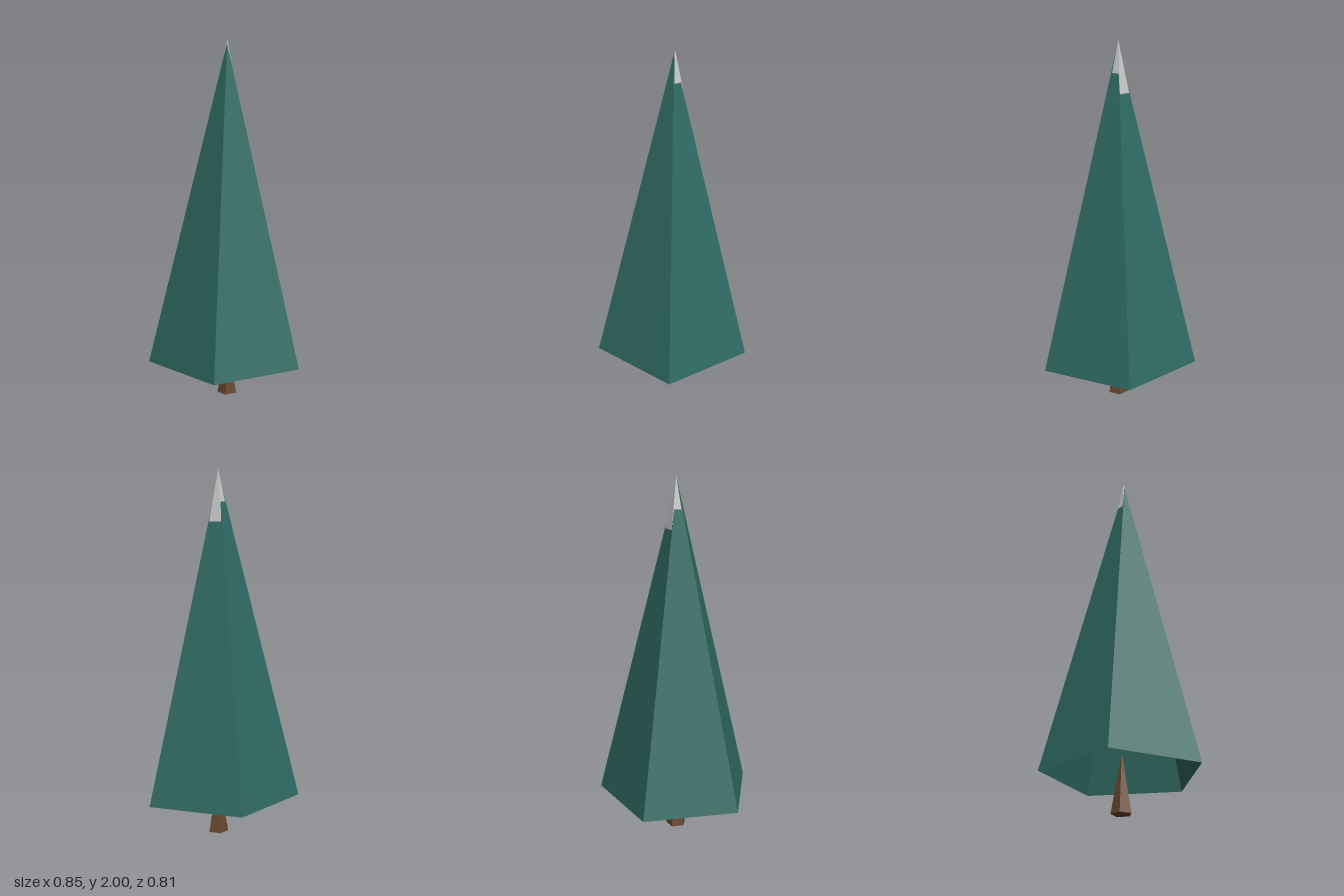
import * as THREE from 'three';

export function createModel() {
  const group = new THREE.Group();
  const material = (name, color, side = THREE.FrontSide) => {
    const m = new THREE.MeshStandardMaterial({ color, side, flatShading: true });
    m.name = name;
    return m;
  };
  const needleGreen = material('needleGreen', 0x2f6a63, THREE.DoubleSide);
  const snowWhite = material('snowWhite', 0xc8c8c8, THREE.DoubleSide);
  const barkBrown = material('barkBrown', 0x68472d);

  // Five-sided cone with one corner towards the front
  const addCone = (name, radius, bottom, top, z, mat, open) => {
    const height = top - bottom;
    const geometry = new THREE.ConeGeometry(radius, height, 5, 1, open);
    const mesh = new THREE.Mesh(geometry, mat);
    mesh.name = name;
    mesh.position.set(0, bottom + height / 2, z);
    group.add(mesh);
  };

  // Hollow foliage, open underneath
  addCone('foliage', 0.446, 0.21, 1.98, -0.045, needleGreen, true);
  // Snow cone nested inside, its tip showing through at the back
  addCone('snowCap', 0.315, 0.51, 2.0, -0.05, snowWhite, true);
  // Tapered trunk
  addCone('trunk', 0.0575, 0, 0.33, -0.056, barkBrown, false);

  return group;
}
